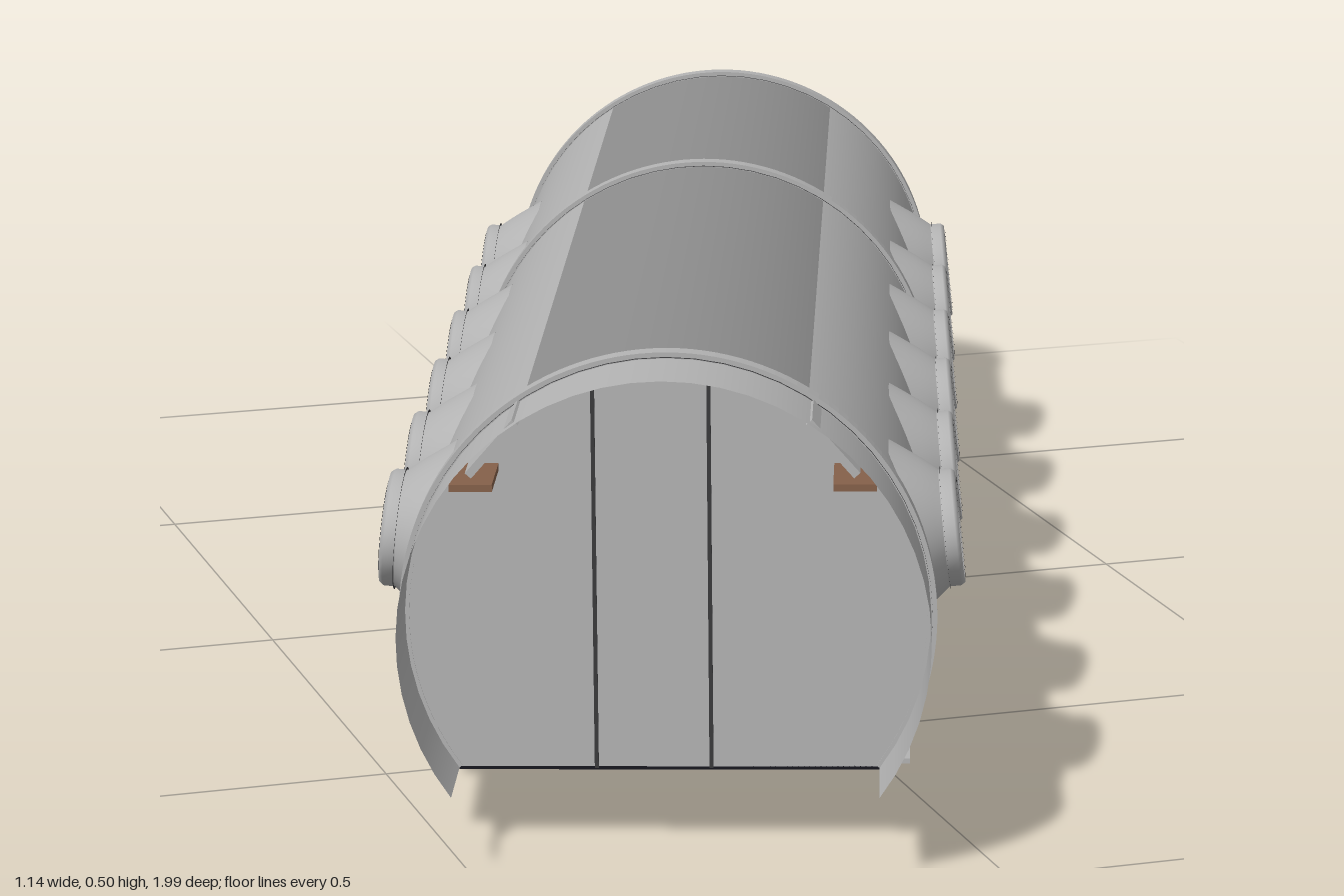
import * as THREE from 'three';

const mat = (name, color, side = THREE.DoubleSide) => {
  const m = new THREE.MeshStandardMaterial({ color, side });
  m.name = name;
  return m;
};

export function createModel() {
  const metal = mat('light grey metal', 0xb4b4b4);
  const roofGrey = mat('roof grey', 0x8e8e8e);
  const dark = mat('dark seam', 0x3a3a3c);
  const floorDark = mat('floor black', 0x17171f);
  const wood = mat('brown wood', 0x86614a);

  const R = 0.26, CY = 0.155;             // barrel radius and axis height
  const BASE = Math.acos(-CY / R);        // angle from the crown to the ground edge
  const ROOF = Math.asin(0.14 / R);       // half angle of the roof strip
  const FRONT = 0.965, BACK = -0.965, WALL = 0.855;
  const HALF = R * Math.sin(BASE);

  const model = new THREE.Group();
  model.name = 'barrelHut';
  const hut = new THREE.Group();
  hut.name = 'hut';
  hut.rotation.set(-0.0415, -0.344, 0.01, 'YXZ');
  hut.position.y = 0.046;
  model.add(hut);

  const add = (name, geo, material, parent = hut) => {
    const m = new THREE.Mesh(geo, material);
    m.name = name;
    parent.add(m);
    return m;
  };
  const box = (name, x0, x1, y0, y1, z0, z1, material, parent = hut) => {
    const g = new THREE.BoxGeometry(x1 - x0, y1 - y0, z1 - z0);
    g.translate((x0 + x1) / 2, (y0 + y1) / 2, (z0 + z1) / 2);
    return add(name, g, material, parent);
  };
  // curved sheet between two angles measured from the crown
  const sheet = (name, r, a0, a1, z0, z1, material) => {
    const g = new THREE.CylinderGeometry(r, r, z1 - z0, 40, 1, true, a0, a1 - a0);
    g.rotateX(-Math.PI / 2);
    g.translate(0, CY, (z0 + z1) / 2);
    return add(name, g, material);
  };
  // arched section, optionally hollow
  const arch = (name, r, inner, z0, depth, material) => {
    const s = new THREE.Shape();
    const a = Math.PI / 2 - BASE, b = Math.PI / 2 + BASE;
    s.absarc(0, CY, r, a, b, false);
    if (inner) s.absarc(0, CY, inner, b, a, true);
    s.closePath();
    const g = new THREE.ExtrudeGeometry(s, { depth, bevelEnabled: false, curveSegments: 48 });
    g.translate(0, 0, z0);
    return add(name, g, material);
  };

  // Barrel shell, roof strip and open porch
  sheet('leftShell', R, ROOF, BASE, BACK, WALL, metal);
  sheet('rightShell', R, -BASE, -ROOF, BACK, WALL, metal);
  sheet('roofStrip', R, -ROOF, ROOF, -0.94, WALL, roofGrey);
  sheet('rearRoofEdge', R, -ROOF, ROOF, BACK, -0.94, metal);
  sheet('porchShell', R, -BASE, BASE, WALL, FRONT, metal);

  // Raised ribs with a dark seam beside each
  for (const z of [0.845, -0.262, -0.95]) {
    arch('rib', R + 0.006, R - 0.004, z - 0.011, 0.022, metal);
    sheet('ribSeam', R + 0.0015, -BASE, BASE, z - 0.015, z + 0.015, dark);
  }

  // End walls with door seams
  arch('frontWall', R - 0.002, 0, WALL - 0.01, 0.01, metal);
  arch('backWall', R - 0.002, 0, BACK, 0.01, metal);
  for (const x of [-0.072, 0.042]) {
    const top = CY + Math.sqrt(R * R - x * x) - 0.006;
    box('frontDoorSeam', x - 0.002, x + 0.002, 0, top, WALL, WALL + 0.002, dark);
    box('backDoorSeam', x - 0.002, x + 0.002, 0, top, BACK - 0.002, BACK, dark);
  }

  // Floor
  box('floor', -HALF, HALF, -0.002, 0.004, BACK, WALL, floorDark);

  // Porthole: flared collar, rim, groove and pane, oval by scaling
  const rv = 0.058, rh = 0.078;
  const flare = [[1.6, 0.228], [1.42, 0.243], [1.25, 0.257], [1.1, 0.268], [1, 0.275]];
  const rim = [[1, 0.274], [1, 0.287], [0.95, 0.291], [0.86, 0.291], [0.82, 0.284]];
  const lathe = (pts) => {
    const g = new THREE.LatheGeometry(pts.map(([r, d]) => new THREE.Vector2(r, d)), 36);
    g.scale(rv, 1, rh);
    g.rotateZ(-Math.PI / 2);
    return g;
  };
  const ring = (r0, r1, x) => {
    const g = new THREE.RingGeometry(r0, r1, 36);
    g.scale(rh, rv, 1);
    g.rotateY(Math.PI / 2);
    g.translate(x, 0, 0);
    return g;
  };
  const flareGeo = lathe(flare), rimGeo = lathe(rim);
  const paneGeo = ring(0, 0.83, 0.286), grooveGeo = ring(0.8, 0.86, 0.292);
  const outerGroove = ring(0.99, 1.05, 0.276);

  // Wedge panel hanging straight down from the curved side
  const wedge = (z0, z1, parent) => {
    const s = new THREE.Shape();
    s.moveTo(0.19, 0);
    s.lineTo(0.256, 0);
    s.lineTo(0.257, 0.1);
    s.lineTo(0.235, 0.1);
    s.closePath();
    const g = new THREE.ExtrudeGeometry(s, { depth: z1 - z0, bevelEnabled: false });
    g.translate(0, 0, z0);
    add('sidePanel', g, metal, parent);
  };

  for (const side of [1, -1]) {
    const half = new THREE.Group();
    half.name = side > 0 ? 'leftSide' : 'rightSide';
    if (side < 0) half.rotation.y = Math.PI;
    hut.add(half);

    for (let i = 0; i < 6; i++) {
      const w = new THREE.Group();
      w.name = 'porthole';
      w.position.set(0, 0.21 - 0.025, side * (0.72 - i * 0.276));
      w.rotation.z = 0.1;
      half.add(w);
      add('portholeFlare', flareGeo, metal, w);
      add('portholeRim', rimGeo, metal, w);
      add('portholePane', paneGeo, metal, w);
      add('portholeGroove', grooveGeo, dark, w);
      add('portholeOuterGroove', outerGroove, dark, w);
    }

    const panels = side > 0
      ? [[-0.068, 0.134], [-0.62, -0.418], [-0.896, -0.684]]
      : [[-0.135, 0.065], [-0.68, -0.48]];
    panels.forEach(([a, b]) => wedge(a, b, half));

    // Ground skirts, broken at the middle rib
    for (const [a, b] of [[-0.95, -0.285], [-0.24, 0.84]]) {
      const z0 = side > 0 ? a : -b, z1 = side > 0 ? b : -a;
      box('groundSkirt', HALF - 0.005, HALF + 0.03, 0, 0.005, z0, z1, metal, half);
      box('skirtSeam', HALF + 0.005, HALF + 0.014, 0.01, 0.014, z0, z1, dark, half);
    }

    // Porch ledge and its brace
    const pz = side > 0 ? [WALL, 0.95] : [-0.95, -WALL];
    box('porchLedge', 0.165, 0.207, 0.303, 0.31, pz[0], pz[1], wood, half);
    const brace = box('porchBrace', -0.035, 0.035, -0.004, 0.004, pz[0], pz[1], metal, half);
    brace.position.set(0.165, 0.345, 0);
    brace.rotation.z = -0.85;
  }

  // Shelf edges showing through the left side
  for (const [z0, z1, y] of [[0.39, 0.79, 0.13], [-0.06, 0.134, 0.122], [-0.59, -0.45, 0.122], [-0.9, -0.75, 0.122]])
    box('shelfEdge', 0.2, 0.263, y, y + 0.006, z0, z1, wood);

  // Outer step box, its crossbar and a board under the floor
  box('stepBox', 0.19, 0.262, -0.002, 0.066, 0.298, 0.37, wood);
  box('crossbar', 0.04, 0.262, -0.012, 0, 0.32, 0.35, wood);
  box('underBoard', 0.07, 0.19, -0.006, 0, 0.38, 0.82, wood);

  return model;
}
